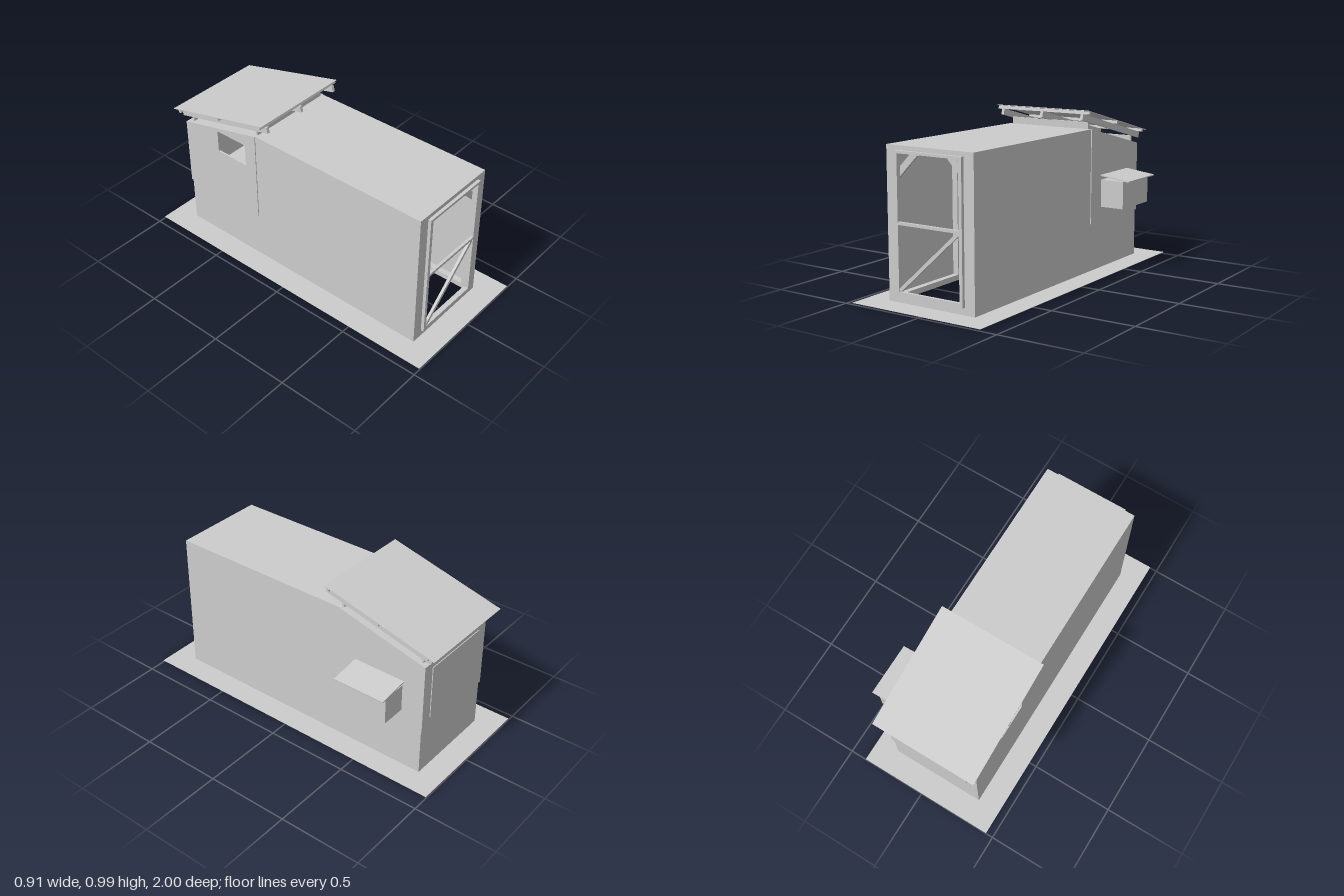
import * as THREE from 'three';

const X0 = -0.315, X1 = 0.26, MID = (X0 + X1) / 2, BASE = 0.008, TOP = 0.865;
const wood = new THREE.MeshStandardMaterial({ color: 0xcccccc, side: THREE.DoubleSide });
wood.name = 'plain grey';

function add(parent, name, geometry) {
  const mesh = new THREE.Mesh(geometry, wood);
  mesh.name = name;
  parent.add(mesh);
  return mesh;
}

// Box given by its limits on each axis
function block(parent, name, [xa, xb], [ya, yb], [za, zb]) {
  const mesh = add(parent, name, new THREE.BoxGeometry(xb - xa, yb - ya, zb - za));
  mesh.position.set((xa + xb) / 2, (ya + yb) / 2, (za + zb) / 2);
  return mesh;
}

// Flat bar between two points of a plane of constant z
function bar(parent, name, [xa, ya], [xb, yb], width, z, depth) {
  const mesh = add(parent, name, new THREE.BoxGeometry(Math.hypot(xb - xa, yb - ya), width, depth));
  mesh.position.set((xa + xb) / 2, (ya + yb) / 2, z);
  mesh.rotation.z = Math.atan2(yb - ya, xb - xa);
  return mesh;
}

const outline = (pts) => new THREE.Shape(pts.map(([a, b]) => new THREE.Vector2(a, b)));
const rect = (xa, xb, ya, yb) => outline([[xa, ya], [xb, ya], [xb, yb], [xa, yb]]);
function plate(shape, holes, depth) {
  shape.holes.push(...holes);
  return new THREE.ExtrudeGeometry(shape, { depth, bevelEnabled: false });
}

// Plate drawn in z and y, with its larger x face at the given x
function sidePlate(parent, name, pts, holes, x, depth) {
  const mesh = add(parent, name, plate(outline(pts), holes, depth).rotateY(-Math.PI / 2));
  mesh.position.x = x;
  return mesh;
}

export function createModel() {
  const model = new THREE.Group();
  model.name = 'coop';

  // Ground skirt around the open run
  const skirt = plate(rect(-0.455, 0.4, -1, 1), [rect(X0 + 0.01, X1 - 0.01, -0.845, 0.845)], 0.002);
  add(model, 'groundSkirt', skirt.rotateX(-Math.PI / 2)).position.y = 0.007;

  // Run and house shell
  const profile = [[0.855, BASE], [0.855, TOP], [-0.3, TOP], [-0.855, 0.725], [-0.855, BASE]];
  const siding = [[-0.3, 0.297], [-0.3, TOP], [-0.86, 0.725], [-0.86, 0.297]];
  const sideWindow = () => rect(-0.6, -0.38, 0.63, 0.77);
  sidePlate(model, 'rightWall', profile, [sideWindow()], X0 + 0.006, 0.006);
  sidePlate(model, 'leftWall', profile, [], X1, 0.006);
  sidePlate(model, 'rightSiding', siding, [sideWindow()], X0, 0.005);
  sidePlate(model, 'leftSiding', siding, [], X1 + 0.005, 0.005);
  block(model, 'runTop', [X0, X1], [TOP - 0.004, TOP], [-0.3, 0.855]);
  const slope = add(model, 'houseTop', new THREE.BoxGeometry(X1 - X0, 0.004, 0.572));
  slope.position.set(MID, 0.793, -0.5775);
  slope.rotation.x = -Math.atan2(0.14, 0.555);
  block(model, 'lowerBackWall', [X0, X1], [BASE, 0.3], [-0.855, -0.849]);
  block(model, 'backSiding', [X0 - 0.005, X1 + 0.005], [0.297, 0.725], [-0.862, -0.85]);
  block(model, 'backDoor', [-0.25, 0.195], [0.36, 0.69], [-0.867, -0.862]);
  block(model, 'houseFloor', [X0, X1], [0.297, 0.312], [-0.855, -0.3]);

  // Front wall with its doorway
  const front = plate(rect(X0, X1, BASE, TOP), [rect(-0.24, 0.185, 0.06, 0.83)], 0.02);
  add(model, 'frontWall', front).position.z = 0.835;

  // Run door: frame, middle rail and diagonal
  const door = new THREE.Group();
  door.name = 'runDoor';
  model.add(door);
  const frame = plate(rect(-0.25, 0.195, 0.05, 0.84), [rect(-0.23, 0.175, 0.075, 0.825)], 0.019);
  add(door, 'doorFrame', frame).position.z = 0.855;
  block(door, 'middleRail', [-0.23, 0.175], [0.441, 0.457], [0.856, 0.873]);
  bar(door, 'diagonal', [-0.226, 0.081], [0.167, 0.438], 0.02, 0.864, 0.016);

  // Corner posts, wall posts and knee braces
  for (const s of [-1, 1]) {
    const xe = MID + s * 0.263;
    for (const z of [0.815, 0.28, -0.27, -0.83]) {
      block(model, 'post', [xe - 0.018, xe + 0.018], [BASE, z < -0.8 ? 0.72 : TOP - 0.005], [z - 0.018, z + 0.018]);
    }
    bar(model, 'kneeBrace', [MID + s * 0.245, 0.695], [MID + s * 0.115, 0.825], 0.038, 0.82, 0.02);
    block(model, 'sill', [xe - 0.018, xe + 0.018], [BASE, 0.04], [-0.85, 0.85]);
  }

  // House front with sliding hatch
  const houseFront = plate(rect(X0, X1, 0.297, TOP), [rect(-0.088, 0.032, 0.372, 0.62)], 0.01);
  add(model, 'houseFront', houseFront).position.z = -0.305;
  for (const x of [-0.109, 0.052]) {
    block(model, 'hatchRail', [x - 0.009, x + 0.009], [0.362, 0.67], [-0.295, -0.277]);
  }
  block(model, 'hatch', [-0.1, 0.043], [0.495, 0.645], [-0.294, -0.286]);

  // Ramp with cleats
  const ramp = new THREE.Group();
  ramp.name = 'ramp';
  ramp.position.set(-0.028, 0.189, -0.063);
  ramp.rotation.x = Math.atan2(0.37, 0.455);
  model.add(ramp);
  block(ramp, 'rampBoard', [-0.06, 0.06], [-0.01, 0], [-0.29, 0.29]);
  for (let i = 0; i < 8; i++) {
    const z = 0.283 - i * 0.0735;
    block(ramp, 'cleat', [-0.06, 0.06], [0, 0.01], [z - 0.006, z + 0.006]);
  }

  // Nest box with sloping lid
  block(model, 'nestBox', [X1, 0.415], [0.385, 0.55], [-0.725, -0.415]);
  const lid = add(model, 'nestLid', new THREE.BoxGeometry(0.194, 0.007, 0.325));
  lid.position.set(0.358, 0.565, -0.572);
  lid.rotation.z = -0.128;

  // House roof on rafters and purlins
  const roof = new THREE.Group();
  roof.name = 'roof';
  roof.position.set(-0.03, 0.894, -0.572);
  roof.rotation.x = -0.248;
  model.add(roof);
  block(roof, 'roofSheet', [-0.32, 0.32], [-0.004, 0], [-0.368, 0.368]);
  for (const z of [-0.32, 0.005, 0.345]) {
    block(roof, 'purlin', [-0.32, 0.32], [-0.022, -0.004], [z - 0.009, z + 0.009]);
  }
  for (const x of [-0.2745, 0.003, 0.28]) {
    block(roof, 'rafter', [x - 0.009, x + 0.009], [-0.058, -0.022], [-0.342, 0.368]);
  }
  block(model, 'frontRoofBeam', [-0.295, 0.24], [TOP - 0.005, 0.905], [-0.312, -0.297]);
  block(model, 'backRoofBeam', [-0.295, 0.24], [0.725, 0.772], [-0.833, -0.818]);
  return model;
}
